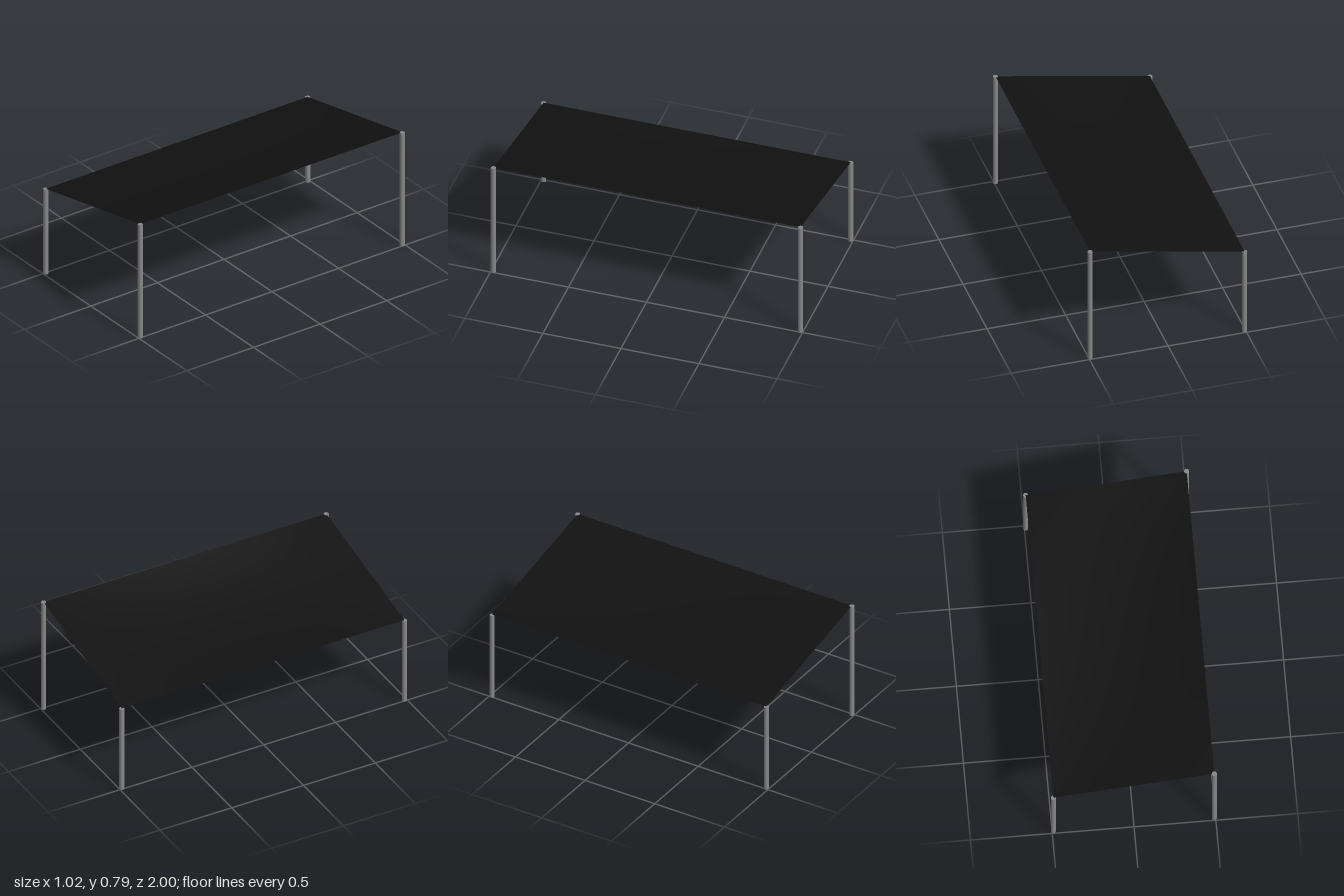
import * as THREE from 'three';

const HALF_X = 0.492, HALF_Z = 0.984; // post centres
const LOW = 0.59, HIGH = 0.787;       // post heights
const RADIUS = 0.0157, SAG = 0.03;

export function createModel() {
  const model = new THREE.Group();
  model.name = 'shadeSail';

  const steel = new THREE.MeshStandardMaterial({ color: 0x888888 });
  steel.name = 'grey steel';
  const fabric = new THREE.MeshStandardMaterial({ color: 0x111111, side: THREE.DoubleSide });
  fabric.name = 'black fabric';

  // Four posts: low on the right side, high on the left
  for (const sx of [-1, 1]) {
    const height = sx < 0 ? LOW : HIGH;
    for (const sz of [-1, 1]) {
      const post = new THREE.Mesh(new THREE.CylinderGeometry(RADIUS, RADIUS, height, 16), steel);
      post.name = (sz > 0 ? 'front' : 'back') + (sx > 0 ? 'Left' : 'Right') + 'Post';
      post.position.set(sx * HALF_X, height / 2, sz * HALF_Z);
      model.add(post);
    }
  }

  // Sloping canopy with straight edges that sags towards its middle
  const sheet = new THREE.PlaneGeometry(2 * HALF_X, 2 * HALF_Z, 20, 20).rotateX(-Math.PI / 2);
  const pos = sheet.attributes.position;
  for (let i = 0; i < pos.count; i++) {
    const u = pos.getX(i) / HALF_X, v = pos.getZ(i) / HALF_Z;
    const slope = THREE.MathUtils.lerp(LOW, HIGH, (u + 1) / 2);
    pos.setY(i, slope - SAG * (1 - u * u) * (1 - v * v));
  }
  sheet.computeVertexNormals();
  const canopy = new THREE.Mesh(sheet, fabric);
  canopy.name = 'canopy';
  model.add(canopy);

  return model;
}
